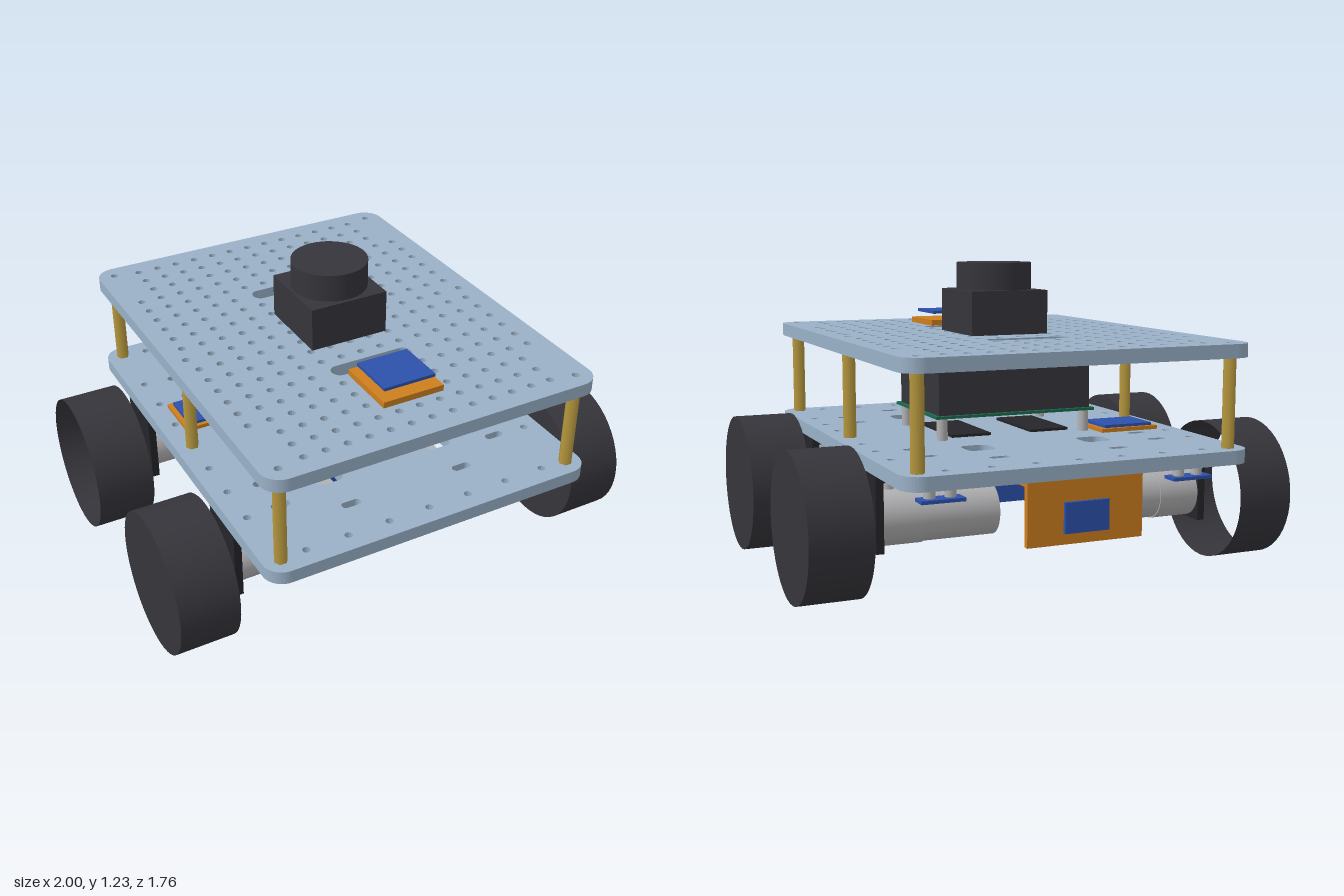
import * as THREE from 'three';

const mat = (name, color, side = THREE.FrontSide) => {
  const m = new THREE.MeshStandardMaterial({ color, side });
  m.name = name;
  return m;
};

// rounded rectangle outline, used for plates, slots and square openings
function roundedRect(path, cx, cy, w, h, r) {
  const x = w / 2 - r, y = h / 2 - r, q = Math.PI / 2;
  path.absarc(cx + x, cy + y, r, 0, q);
  path.absarc(cx - x, cy + y, r, q, 2 * q);
  path.absarc(cx - x, cy - y, r, 2 * q, 3 * q);
  path.absarc(cx + x, cy - y, r, 3 * q, 4 * q);
  path.closePath();
  return path;
}

const roundHole = (x, z, r = 0.016) => new THREE.Path().absarc(x, z, r, 0, Math.PI * 2);

// flat plate lying in xz with its underside at y
function plateGeometry(holes, y) {
  const shape = roundedRect(new THREE.Shape(), 0, 0, 1.406, 1.756, 0.08);
  shape.holes.push(...holes);
  const g = new THREE.ExtrudeGeometry(shape, { depth: 0.054, bevelEnabled: false, curveSegments: 6 });
  return g.rotateX(-Math.PI / 2).translate(0, y, 0);
}

export function createModel() {
  const root = new THREE.Group();
  root.name = 'fourWheelRover';

  const plateBlue = mat('plateBlueGrey', 0x9ab1c7);
  const rubber = mat('charcoal', 0x36353b);
  const rubberOpen = rubber.clone();
  rubberOpen.side = THREE.DoubleSide;
  const black = mat('bracketBlack', 0x25252a);
  const silver = mat('silver', 0xb2b2b4);
  const brass = mat('brass', 0xb8993f);
  const orange = mat('boardOrange', 0xcd7e1e);
  const blue = mat('moduleBlue', 0x2c52ac);
  const green = mat('boardGreen', 0x1c6a4c);

  const add = (name, geometry, material, x = 0, y = 0, z = 0) => {
    const m = new THREE.Mesh(geometry, material);
    m.name = name;
    m.position.set(x, y, z);
    root.add(m);
    return m;
  };
  // box given by its lower and upper corners
  const box = (name, material, x0, x1, y0, y1, z0, z1) =>
    add(name, new THREE.BoxGeometry(x1 - x0, y1 - y0, z1 - z0), material,
      (x0 + x1) / 2, (y0 + y1) / 2, (z0 + z1) / 2);
  // upright cylinder between two heights
  const post = (name, material, r, x, y0, y1, z, sides = 20) =>
    add(name, new THREE.CylinderGeometry(r, r, y1 - y0, sides), material, x, (y0 + y1) / 2, z);

  const signs = [-1, 1];
  const standoffs = [];
  for (const sx of signs) for (const z of [-0.808, 0, 0.808]) standoffs.push([sx * 0.633, z]);

  // top deck: regular hole grid, two long slots, standoff holes
  const pitch = 0.0877;
  const topHoles = standoffs.map(([x, z]) => roundHole(x, z));
  for (let i = -7; i <= 7; i++) {
    for (let j = -9; j <= 9; j++) {
      if (Math.abs(i) === 7 && (Math.abs(j) > 6 || j === 0)) continue;
      if (Math.abs(j) === 4 && Math.abs(i) <= 2) continue;
      topHoles.push(roundHole(i * pitch, j * pitch));
    }
  }
  for (const s of signs) topHoles.push(roundedRect(new THREE.Path(), 0, s * 0.351, 0.356, 0.072, 0.035));
  add('topDeck', plateGeometry(topHoles, 0.88), plateBlue);

  // lower deck: edge holes, wiring openings and mounting slots
  const lowHoles = [];
  for (const sz of signs) {
    for (let i = -3; i <= 3; i++) lowHoles.push(roundHole(i * 0.175, sz * 0.8));
    for (const sx of signs) {
      for (const z of [0.175, 0.35, 0.53]) lowHoles.push(roundHole(sx * 0.635, sz * z));
      lowHoles.push(roundedRect(new THREE.Path(), sx * 0.25, sz * 0.43, 0.115, 0.115, 0.03));
      for (const z of [0.36, 0.52])
        lowHoles.push(roundedRect(new THREE.Path(), sx * 0.49, sz * z, 0.08, 0.034, 0.016));
      lowHoles.push(roundedRect(new THREE.Path(), sx * 0.25, sz * 0.64, 0.08, 0.034, 0.016));
    }
  }
  add('lowerDeck', plateGeometry(lowHoles, 0.473), plateBlue);

  // hexagonal deck standoffs
  for (const [x, z] of standoffs) post('deckStandoff', brass, 0.027, x, 0.527, 0.88, z, 6).rotation.y = Math.PI / 6;

  // scanner
  box('scannerBase', rubber, -0.167, 0.167, 0.934, 1.113, -0.17, 0.17);
  post('scannerHead', rubber, 0.155, 0, 1.113, 1.225, 0, 48);

  // antenna module on the top deck
  box('antennaBoard', orange, -0.13, 0.13, 0.934, 0.959, 0.395, 0.66);
  post('antennaStem', blue, 0.022, 0, 0.959, 0.985, 0.528);
  box('antennaPlate', blue, -0.11, 0.11, 0.985, 0.998, 0.425, 0.63);

  // computer on four posts
  box('computerBoard', green, -0.35, 0.35, 0.615, 0.626, -0.245, 0.245);
  box('computerHousing', rubber, -0.334, 0.334, 0.626, 0.805, -0.228, 0.228);
  for (const sx of signs) for (const sz of signs)
    post('computerPost', silver, 0.022, sx * 0.315, 0.527, 0.615, sz * 0.213);

  // small sensor module on the lower deck
  box('sensorBoard', orange, -0.615, -0.355, 0.527, 0.543, -0.31, -0.10);
  box('sensorPlate', blue, -0.595, -0.375, 0.543, 0.555, -0.295, -0.118);

  // battery under the lower deck with its straps
  box('battery', blue, -0.44, 0.44, 0.235, 0.473, -0.15, 0.15);
  for (const s of signs) {
    const a = s > 0 ? 0.09 : -0.26, b = a + 0.17;
    box('batteryStrapBottom', black, a, b, 0.225, 0.235, -0.16, 0.16);
    box('batteryStrapTop', black, a, b, 0.527, 0.538, -0.18, 0.18);
  }

  // rear panel with folded tab and blue window
  box('rearPanel', orange, -0.235, 0.235, 0.228, 0.473, -0.85, -0.826);
  box('rearPanelTab', orange, -0.235, 0.235, 0.449, 0.473, -0.826, -0.748);
  box('rearPanelModule', blue, -0.09, 0.09, 0.27, 0.386, -0.864, -0.85);

  // rear floor sensors hung under the lower deck
  for (const s of signs) {
    const x = s * 0.515;
    box('floorSensorPlate', blue, x - 0.085, x + 0.085, 0.4, 0.413, -0.755, -0.685);
    for (const d of [-0.04, 0.04]) post('floorSensorPost', silver, 0.022, x + d, 0.413, 0.473, -0.712);
  }

  // wheel, motor and bracket at each corner
  const wheelR = 0.285, wheelY = 0.285;
  for (const sx of signs) for (const sz of signs) {
    const z = sz * 0.438;
    const across = (name, material, r, x0, x1, y, open = false) => {
      const g = new THREE.CylinderGeometry(r, r, x1 - x0, 48, 1, open).rotateZ(Math.PI / 2);
      return add(name, g, material, sx * (x0 + x1) / 2, y, z);
    };
    const side = (name, material, x0, x1, y0, y1, hz) =>
      box(name, material, Math.min(sx * x0, sx * x1), Math.max(sx * x0, sx * x1), y0, y1, z - hz, z + hz);

    // the right rear wheel is a bare hoop
    const hoop = sx < 0 && sz < 0;
    across('wheel', hoop ? rubberOpen : rubber, wheelR, 0.76, 1, wheelY, hoop);
    across('motor', silver, 0.103, 0.205, 0.5, 0.292);
    across('gearbox', silver, 0.107, 0.5, 0.672, 0.292);
    side('motorTerminal', silver, 0.21, 0.277, 0.3, 0.473, 0.045);
    side('bracketFace', black, 0.672, 0.703, 0.18, 0.473, 0.11);
    side('bracketTop', black, 0.435, 0.672, 0.445, 0.473, 0.11);
    for (const x of [0.49, 0.64]) for (const d of [-0.07, 0.07])
      post('bracketScrew', silver, 0.02, sx * x, 0.415, 0.445, z + d, 6);
  }

  return root;
}
